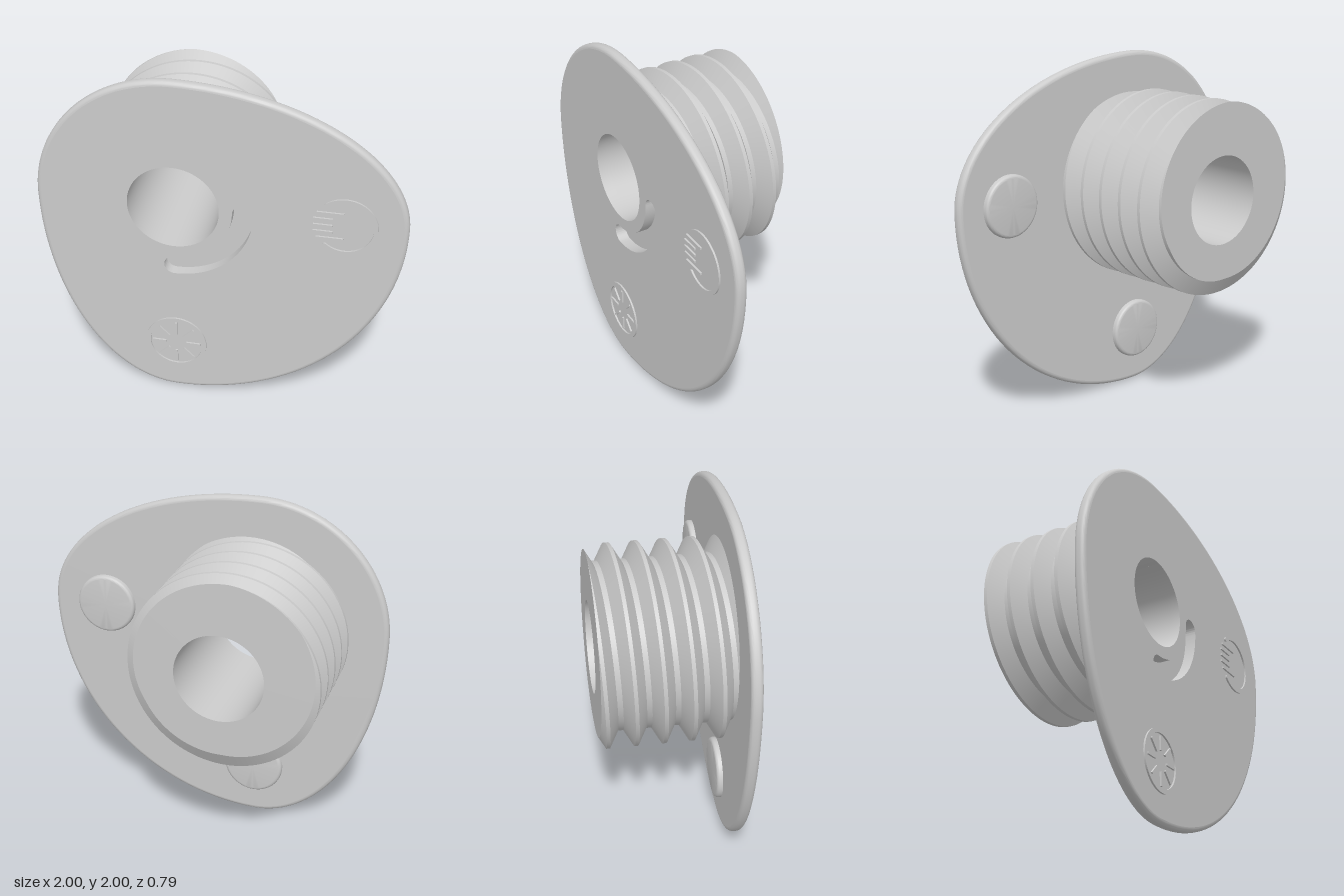
import * as THREE from 'three';
import { toCreasedNormals } from 'three/addons/utils/BufferGeometryUtils.js';

const CX = -0.25, CY = 1.25;             // axis of the bore and threaded shank
const BACK = 0.32, FRONT = 0.383;        // plate faces
const END = -0.393, RELIEF = 0.393;      // shank end, raised icon height
const BORE = 0.25, SEG = 128, TAU = Math.PI * 2;

const material = new THREE.MeshStandardMaterial({ color: 0xcccccc });

function addMesh(parent, name, geometry, crease = 0.5) {
  const mesh = new THREE.Mesh(toCreasedNormals(geometry, crease), material);
  mesh.name = name;
  parent.add(mesh);
  return mesh;
}

// Skin between rows of points; each row runs counter-clockwise round the axis
function loft(rows) {
  const pos = [];
  const tri = (a, b, c) => {
    const area = b.clone().sub(a).cross(c.clone().sub(a)).length();
    if (area > 1e-9) for (const p of [a, b, c]) pos.push(p.x, p.y, p.z);
  };
  for (let i = 0; i < rows.length - 1; i++) {
    for (let j = 0; j < rows[i].length - 1; j++) {
      const a = rows[i][j], b = rows[i][j + 1], c = rows[i + 1][j + 1], d = rows[i + 1][j];
      tri(a, b, c);
      tri(a, c, d);
    }
  }
  const g = new THREE.BufferGeometry();
  g.setAttribute('position', new THREE.Float32BufferAttribute(pos, 3));
  return g;
}

// Plate outline: four quarter ellipses meeting round the bore axis, moved inward by inset
function outline(inset, z) {
  const pts = [];
  for (let j = 0; j <= SEG; j++) {
    const t = (j % SEG) / SEG * TAU, c = Math.cos(t), s = Math.sin(t);
    const a = c > 0 ? 1.25 : 0.75, b = s > 0 ? 0.75 : 1.25;
    const n = new THREE.Vector2(c / a, s / b).normalize();
    pts.push(new THREE.Vector3(CX + a * c - n.x * inset, CY + b * s - n.y * inset, z));
  }
  return pts;
}

// Curved band with round ends, as a shape or hole
function arcBand(Type, x, y, rIn, rOut, from, to) {
  const rm = (rIn + rOut) / 2, w = (rOut - rIn) / 2;
  const p = new Type();
  p.absarc(x, y, rOut, from, to, false);
  p.absarc(x + rm * Math.cos(to), y + rm * Math.sin(to), w, to, to + Math.PI, false);
  p.absarc(x, y, rIn, to, from, true);
  p.absarc(x + rm * Math.cos(from), y + rm * Math.sin(from), w, from + Math.PI, from + TAU, false);
  return p;
}

function makePlate() {
  const plate = new THREE.Group();
  plate.name = 'plate';
  const fillet = 0.025;

  // Flat faces with bore and curved slot
  const shape = new THREE.Shape(outline(fillet, 0).slice(0, SEG).map(p => new THREE.Vector2(p.x, p.y)));
  const bore = new THREE.Path();
  bore.absarc(CX, CY, BORE, 0, TAU, true);
  shape.holes.push(bore, arcBand(THREE.Path, CX, CY, 0.32, 0.433, -Math.PI / 2, 0));
  const faces = new THREE.ExtrudeGeometry(shape, { depth: FRONT - BACK, bevelEnabled: false, curveSegments: 48 });
  faces.translate(0, 0, BACK);
  addMesh(plate, 'plateFaces', faces);

  // Rounded rim
  const rows = [];
  for (const [z, start] of [[BACK + fillet, -Math.PI / 2], [FRONT - fillet, 0]]) {
    for (let i = 0; i <= 6; i++) {
      const t = start + i / 6 * Math.PI / 2;
      rows.push(outline(fillet * (1 - Math.cos(t)), z + fillet * Math.sin(t)));
    }
  }
  addMesh(plate, 'plateRim', loft(rows));
  return plate;
}

// Hollow shank with a helical thread, cut square at both ends
function makeShank() {
  const pitch = 0.15, root = 0.455, crest = 0.545, halfCrest = 0.01, halfRoot = 0.061;
  const radius = d => {
    const k = Math.abs(d - pitch * Math.round(d / pitch));
    return THREE.MathUtils.mapLinear(THREE.MathUtils.clamp(k, halfCrest, halfRoot), halfCrest, halfRoot, crest, root);
  };
  const ring = (zOf, rOf) => Array.from({ length: SEG + 1 }, (_, j) => {
    const t = j / SEG * TAU, z = zOf(t);
    const r = rOf(z, t);
    return new THREE.Vector3(CX + r * Math.cos(t), CY + r * Math.sin(t), z);
  });
  const crestAt = t => 0.157 + pitch * t / TAU;
  const threadRadius = (z, t) => radius(z - crestAt(t));

  const rows = [ring(() => BACK, () => BORE), ring(() => END, () => BORE), ring(() => END, threadRadius)];
  for (let turn = -5; turn <= 2; turn++) {
    for (const k of [-halfRoot, -halfCrest, halfCrest, halfRoot]) {
      rows.push(ring(t => THREE.MathUtils.clamp(crestAt(t) + turn * pitch + k, END, BACK), threadRadius));
    }
  }
  rows.push(ring(() => BACK, threadRadius), ring(() => BACK, () => BORE));
  return loft(rows);
}

// Round button on the back of the plate
function addButton(parent, name, x, y) {
  const r = 0.175, h = 0.034, f = 0.02;
  const profile = [new THREE.Vector2(r, -0.01)];
  for (let i = 0; i <= 6; i++) {
    const t = i / 6 * Math.PI / 2;
    profile.push(new THREE.Vector2(r - f + f * Math.cos(t), h - f + f * Math.sin(t)));
  }
  profile.push(new THREE.Vector2(0, h));
  const g = new THREE.LatheGeometry(profile, 64);
  g.rotateX(-Math.PI / 2);
  g.translate(x, y, BACK);
  addMesh(parent, name, g);
}

// Thin raised bar on the front face
function addBar(parent, name, x, y, length, angle = 0) {
  const g = new THREE.BoxGeometry(length, 0.012, RELIEF - FRONT + 0.01);
  const bar = addMesh(parent, name, g);
  bar.position.set(x, y, (RELIEF + FRONT - 0.01) / 2);
  bar.rotation.z = angle;
}

function addRelief(parent, name, shape) {
  const g = new THREE.ExtrudeGeometry(shape, { depth: RELIEF - FRONT + 0.01, bevelEnabled: false, curveSegments: 48 });
  g.translate(0, 0, FRONT - 0.01);
  addMesh(parent, name, g);
}

export function createModel() {
  const model = new THREE.Group();
  model.name = 'threadedFlange';
  model.add(makePlate());
  addMesh(model, 'threadedShank', makeShank());

  const sideX = 0.67, lowY = 0.33;
  addButton(model, 'sideButton', sideX, CY);
  addButton(model, 'lowerButton', CX, lowY);

  // Lower icon: ring with eight spokes
  const spoked = new THREE.Group();
  spoked.name = 'spokedIcon';
  const ring = new THREE.Shape();
  ring.absarc(CX, lowY, 0.173, 0, TAU, false);
  const inner = new THREE.Path();
  inner.absarc(CX, lowY, 0.15, 0, TAU, true);
  ring.holes.push(inner);
  addRelief(spoked, 'iconRing', ring);
  for (let i = 0; i < 8; i++) {
    const a = i * Math.PI / 4;
    addBar(spoked, 'spoke', CX + 0.098 * Math.cos(a), lowY + 0.098 * Math.sin(a), 0.08, a);
  }
  model.add(spoked);

  // Side icon: open ring with five beams
  const beams = new THREE.Group();
  beams.name = 'beamIcon';
  const open = THREE.MathUtils.degToRad(130);
  addRelief(beams, 'openRing', arcBand(THREE.Shape, sideX, CY, 0.15, 0.173, -open, open));
  for (let i = -2; i <= 2; i++) {
    const outer = Math.abs(i) === 2;
    addBar(beams, 'beam', outer ? 0.59 : 0.552, CY + i * 0.039, outer ? 0.145 : 0.104);
  }
  model.add(beams);
  return model;
}
